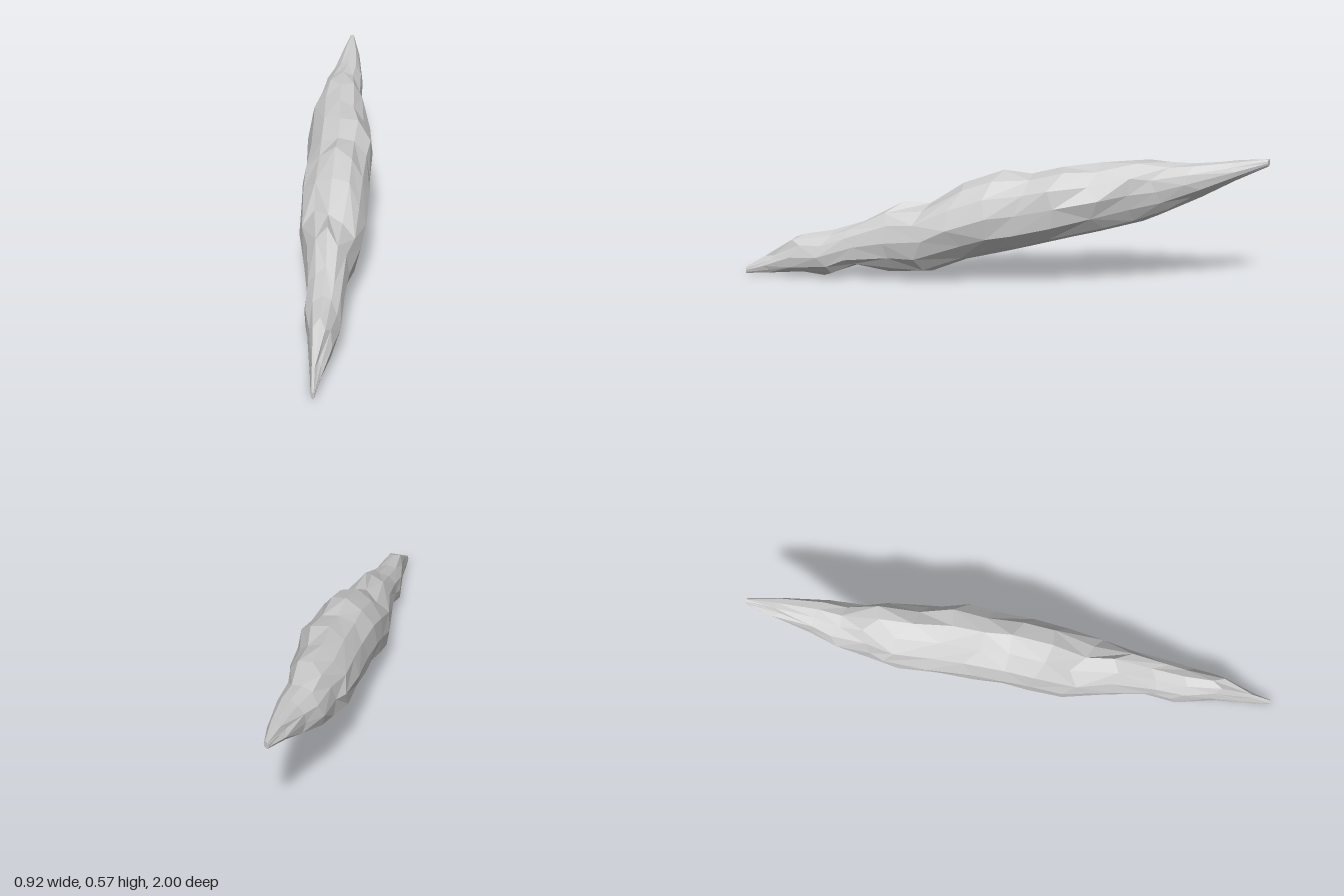
import * as THREE from 'three';

// Cross-sections along the spindle: z, xMin, xMax, yMin, yMax
const SECTIONS = [
  [1.0, 0.44, 0.457, 0.0, 0.03],
  [0.9, 0.38, 0.43, 0.005, 0.09],
  [0.78, 0.305, 0.41, 0.01, 0.185],
  [0.66, 0.22, 0.382, 0.01, 0.205],
  [0.54, 0.165, 0.335, 0.06, 0.245],
  [0.4, 0.075, 0.285, 0.035, 0.33],
  [0.26, -0.03, 0.25, 0.05, 0.345],
  [0.12, -0.1, 0.205, 0.095, 0.43],
  [0.0, -0.155, 0.158, 0.14, 0.48],
  [-0.12, -0.21, 0.11, 0.17, 0.49],
  [-0.25, -0.27, 0.055, 0.205, 0.515],
  [-0.4, -0.34, -0.045, 0.25, 0.535],
  [-0.52, -0.365, -0.13, 0.285, 0.555],
  [-0.62, -0.392, -0.195, 0.33, 0.54],
  [-0.75, -0.41, -0.26, 0.40, 0.55],
  [-0.88, -0.435, -0.345, 0.475, 0.56],
  [-1.0, -0.46, -0.435, 0.54, 0.57],
];
const SIDES = 12;

function seeded(seed) {
  return () => {
    seed = (seed * 16807) % 2147483647;
    return seed / 2147483647;
  };
}

// Chipped spindle of stone: irregular oval rings joined by flat facets
function spindleGeometry() {
  const rand = seeded(421);
  const points = [];
  const index = [];
  const last = SECTIONS.length - 1;

  SECTIONS.forEach(([z, x0, x1, y0, y1], i) => {
    const rough = i === 0 || i === last ? 0 : 1;
    for (let j = 0; j < SIDES; j++) {
      const a = (j / SIDES) * Math.PI * 2;
      const r = 1 + rough * (rand() * 0.12 - 0.07);
      // slide along the length, following the lean of the axis
      const dz = rough * (rand() - 0.5) * 0.06;
      points.push(
        (x0 + x1) / 2 + Math.cos(a) * r * (x1 - x0) / 2 + dz * 0.45,
        Math.max(0, (y0 + y1) / 2 + Math.sin(a) * r * (y1 - y0) / 2 - dz * 0.28),
        z + dz,
      );
    }
  });

  for (let i = 0; i < last; i++) {
    for (let j = 0; j < SIDES; j++) {
      const k = (j + 1) % SIDES;
      const a = i * SIDES + j, b = i * SIDES + k;
      const c = a + SIDES, d = b + SIDES;
      // alternate the diagonals for broken facets
      if (rand() < 0.5) index.push(a, c, b, b, c, d);
      else index.push(a, c, d, a, d, b);
    }
  }

  // Blunt tips
  for (let j = 1; j < SIDES - 1; j++) {
    const e = last * SIDES;
    index.push(0, j, j + 1, e, e + j + 1, e + j);
  }

  const indexed = new THREE.BufferGeometry();
  indexed.setAttribute('position', new THREE.Float32BufferAttribute(points, 3));
  indexed.setIndex(index);
  const geometry = indexed.toNonIndexed();
  geometry.computeVertexNormals();
  return geometry;
}

export function createModel() {
  const group = new THREE.Group();
  group.name = 'rockShard';
  const stone = new THREE.MeshStandardMaterial({ color: 0xcccccc, flatShading: true });
  const body = new THREE.Mesh(spindleGeometry(), stone);
  body.name = 'stoneSpindle';
  group.add(body);
  return group;
}
